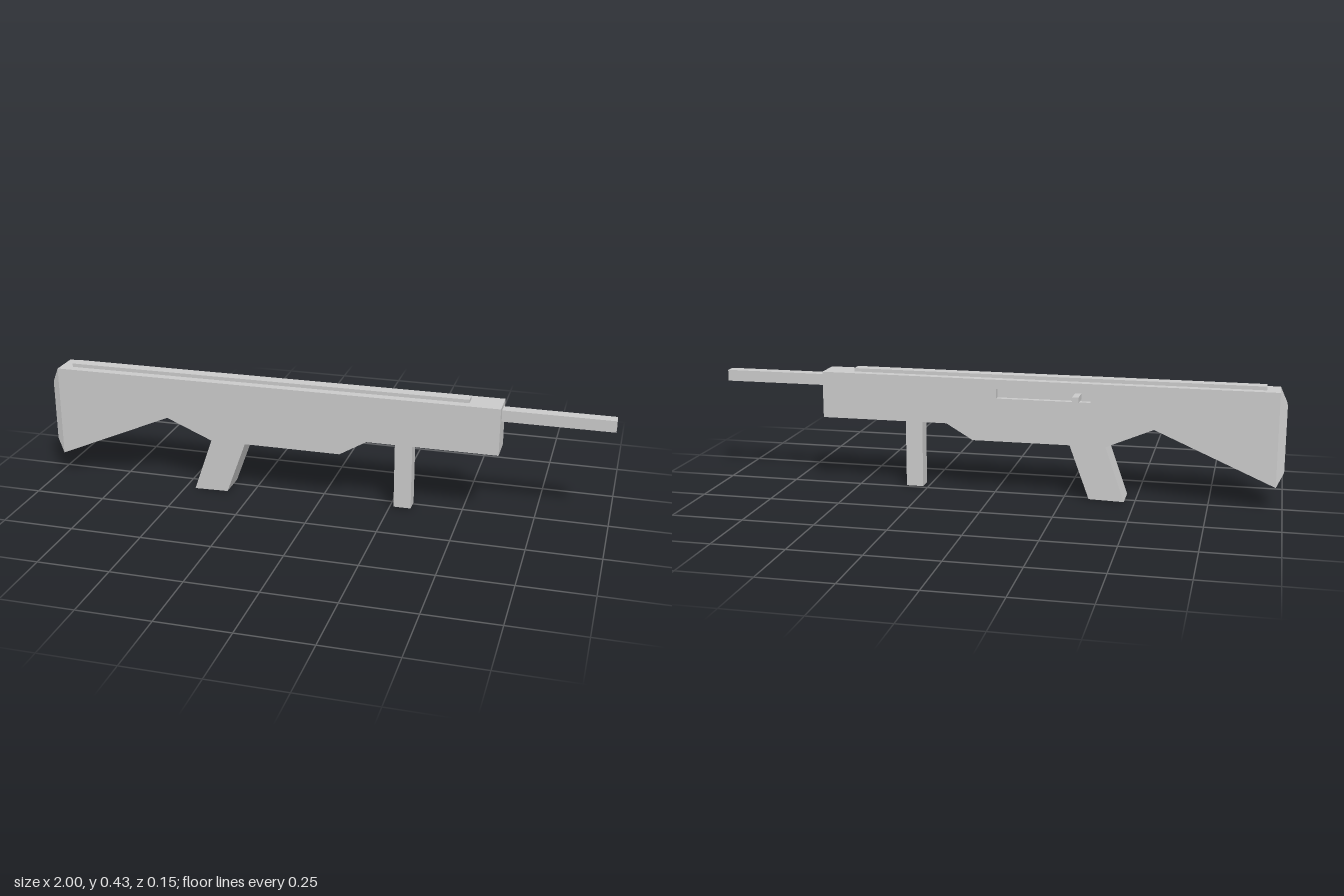
import * as THREE from 'three';

const mat = new THREE.MeshStandardMaterial({ color: 0xcccccc, flatShading: true });
const MID = 0.0245; // z of the body's middle plane
const BACK = -0.028, FLOOR = -0.008, FRONT = 0.077;

const toPath = (pts, Type = THREE.Shape) => new Type(pts.map(([x, y]) => new THREE.Vector2(x, y)));
const rect = (x0, x1, y0, y1) => [[x0, y0], [x1, y0], [x1, y1], [x0, y1]];

export function createModel() {
  const group = new THREE.Group();
  const add = (name, geometry) => {
    const mesh = new THREE.Mesh(geometry, mat);
    mesh.name = name;
    group.add(mesh);
    return mesh;
  };
  const box = (name, x0, x1, y0, y1, z0, z1) =>
    add(name, new THREE.BoxGeometry(x1 - x0, y1 - y0, z1 - z0))
      .position.set((x0 + x1) / 2, (y0 + y1) / 2, (z0 + z1) / 2);
  const slab = (name, pts, z0, z1, hole) => {
    const shape = toPath(pts);
    if (hole) shape.holes.push(toPath(hole, THREE.Path));
    const geometry = new THREE.ExtrudeGeometry(shape, { depth: z1 - z0, bevelEnabled: false });
    return add(name, geometry.translate(0, 0, z0));
  };

  // Stock, body and rear grip share one side profile
  const profile = [
    [-0.975, 0.083], [-0.56, 0.263], [-0.395, 0.193], [-0.463, 0], [-0.34, 0.003], [-0.27, 0.193],
    [0.075, 0.193], [0.17, 0.249], [0.625, 0.249], [0.625, 0.415], [-0.975, 0.411],
  ];
  slab('body', profile, FLOOR, FRONT);
  // Back layer, pierced to form the recessed slot
  slab('slottedSide', profile, BACK, FLOOR, rect(-0.34, -0.01, 0.347, 0.381));

  // Butt plate: a box narrowed towards its rear face
  const butt = new THREE.BoxGeometry(0.025, 0.328, FRONT - BACK);
  const p = butt.attributes.position;
  for (let i = 0; i < p.count; i++) {
    const rear = p.getX(i) < 0, top = p.getY(i) > 0;
    if (rear) p.setXYZ(i, p.getX(i), top ? 0.11 : -0.112, p.getZ(i) * 0.81);
  }
  butt.computeVertexNormals();
  add('buttPlate', butt).position.set(-0.9875, 0.247, MID);

  // Hollow square barrel
  const barrel = toPath(rect(-0.0205, 0.0205, -0.02, 0.02));
  barrel.holes.push(toPath(rect(-0.0145, 0.0145, -0.015, 0.015), THREE.Path));
  const tube = new THREE.ExtrudeGeometry(barrel, { depth: 0.375, bevelEnabled: false });
  add('barrel', tube.rotateY(Math.PI / 2)).position.set(0.625, 0.38, MID);

  // Top rail, front grip and charging handle
  slab('topRail', [[-0.93, 0.409], [0.515, 0.412], [0.515, 0.427], [-0.93, 0.424]], 0.003, 0.046);
  box('frontGrip', 0.265, 0.326, 0.005, 0.255, -0.002, 0.051);
  box('chargingHandle', -0.306, -0.284, 0.354, 0.374, -0.077, FLOOR);

  return group;
}
